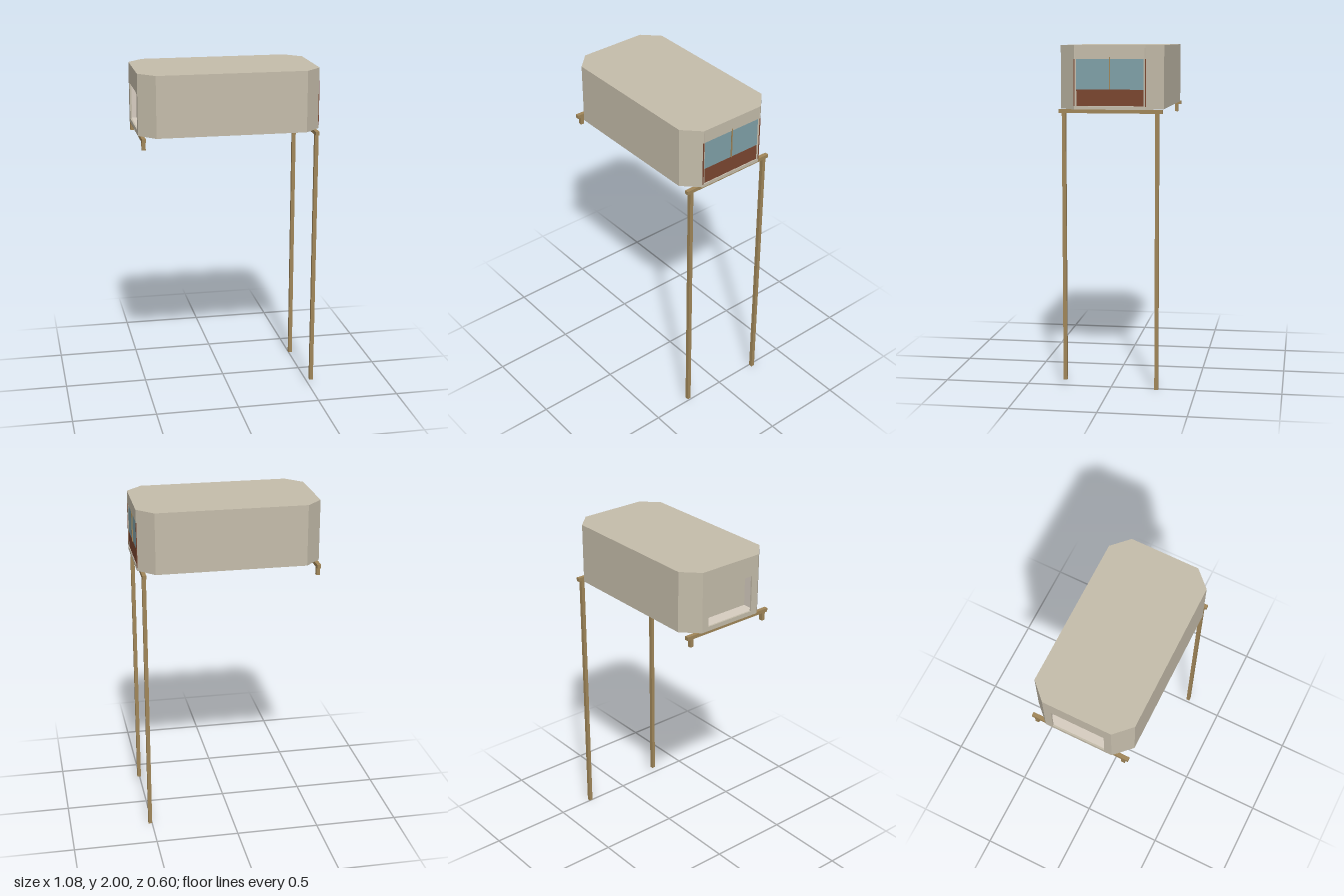
import * as THREE from 'three';

const mat = (name, color) => Object.assign(new THREE.MeshStandardMaterial({ color }), { name });

export function createModel() {
  const group = new THREE.Group();
  const shell = mat('shell beige', 0xc4bcaa);
  const pale = mat('pale interior', 0xd6ccc0);
  const wood = mat('timber', 0xa08659);
  const brown = mat('brown panel', 0x7a4630);
  const glass = mat('window glass', 0x7fa0a8);

  const add = (name, geometry, material) => {
    const mesh = new THREE.Mesh(geometry, material);
    mesh.name = name;
    group.add(mesh);
    return mesh;
  };
  // Box given by its limits on each axis
  const box = (name, [x0, x1], [y0, y1], [z0, z1], material) => {
    const mesh = add(name, new THREE.BoxGeometry(x1 - x0, y1 - y0, z1 - z0), material);
    mesh.position.set((x0 + x1) / 2, (y0 + y1) / 2, (z0 + z1) / 2);
  };
  // Upright prism over a plan outline of [x, z] points
  const prism = (name, plan, y0, y1, material) => {
    const shape = new THREE.Shape(plan.map(([x, z]) => new THREE.Vector2(x, -z)));
    const geometry = new THREE.ExtrudeGeometry(shape, { depth: y1 - y0, bevelEnabled: false });
    geometry.rotateX(-Math.PI / 2).translate(0, y0, 0);
    add(name, geometry, material);
  };

  const X = 0.54, Z = 0.3, CX = 0.445, CZ = 0.205;
  const base = 1.636, top = 2;

  // Floor and roof slabs with cut corners
  const octagon = [[X, CZ], [CX, Z], [-CX, Z], [-X, CZ], [-X, -CZ], [-CX, -Z], [CX, -Z], [X, -CZ]];
  prism('floor', octagon, base, 1.655, shell);
  prism('roof', octagon, 1.985, top, shell);

  // Long walls with their angled corners
  const wall = [[X, CZ], [CX, Z], [-CX, Z], [-X, CZ],
    [-X + 0.004, CZ - 0.012], [-CX + 0.004, Z - 0.012], [CX - 0.004, Z - 0.012], [X - 0.004, CZ - 0.012]];
  for (const s of [1, -1]) {
    prism('longWall', wall.map(([x, z]) => [x, z * s]), 1.655, 1.985, shell);
  }

  // Window end: lower panel, glazing, header and mullions
  box('floorEdge', [0.525, 0.537], [1.645, 1.657], [-CZ, CZ], pale);
  box('lowerPanel', [0.526, 0.536], [1.655, 1.75], [-CZ, CZ], brown);
  box('windowGlass', [0.527, 0.535], [1.75, 1.922], [-CZ, CZ], glass);
  box('windowHeader', [0.526, 0.538], [1.922, 1.985], [-CZ, CZ], shell);
  for (const z of [-CZ, CZ]) {
    box('cornerPost', [0.532, 0.541], [1.655, 1.922], [z - 0.003, z + 0.003], brown);
  }
  box('mullion', [0.532, 0.541], [1.75, 1.935], [-0.003, 0.003], wood);

  // Open end: wall with an opening and a shallow porch behind it
  const end = new THREE.Shape();
  end.moveTo(-CZ, 1.655).lineTo(CZ, 1.655).lineTo(CZ, 1.985).lineTo(-CZ, 1.985);
  const opening = new THREE.Path();
  opening.moveTo(-0.16, 1.662).lineTo(-0.16, 1.88).lineTo(0.16, 1.88).lineTo(0.16, 1.662);
  end.holes.push(opening);
  const endGeometry = new THREE.ExtrudeGeometry(end, { depth: 0.01, bevelEnabled: false });
  endGeometry.rotateY(-Math.PI / 2).translate(-X + 0.01, 0, 0);
  add('openEndWall', endGeometry, shell);
  box('porchBackWall', [-0.45, -0.44], [1.655, 1.985], [-0.28, 0.28], shell);
  box('porchFloor', [-0.53, -0.45], [1.655, 1.66], [-0.19, 0.19], pale);
  for (const z of [-0.195, 0.195]) {
    box('porchSide', [-0.53, -0.45], [1.655, 1.985], [z - 0.005, z + 0.005], pale);
  }

  // Cross beams and legs; the ground is much higher at the open end
  const ends = [
    { x: 0.511, feet: { back: 0, front: 0.04 } },
    { x: -0.518, feet: { back: 1.567, front: 1.567 } },
  ];
  for (const { x, feet } of ends) {
    const span = [x - 0.0115, x + 0.0115];
    box('crossBeam', span, [1.614, base], [-Z, Z], wood);
    box('backLeg', span, [feet.back, 1.614], [-0.281, -0.259], wood);
    box('frontLeg', span, [feet.front, 1.614], [0.259, 0.281], wood);
  }
  return group;
}
